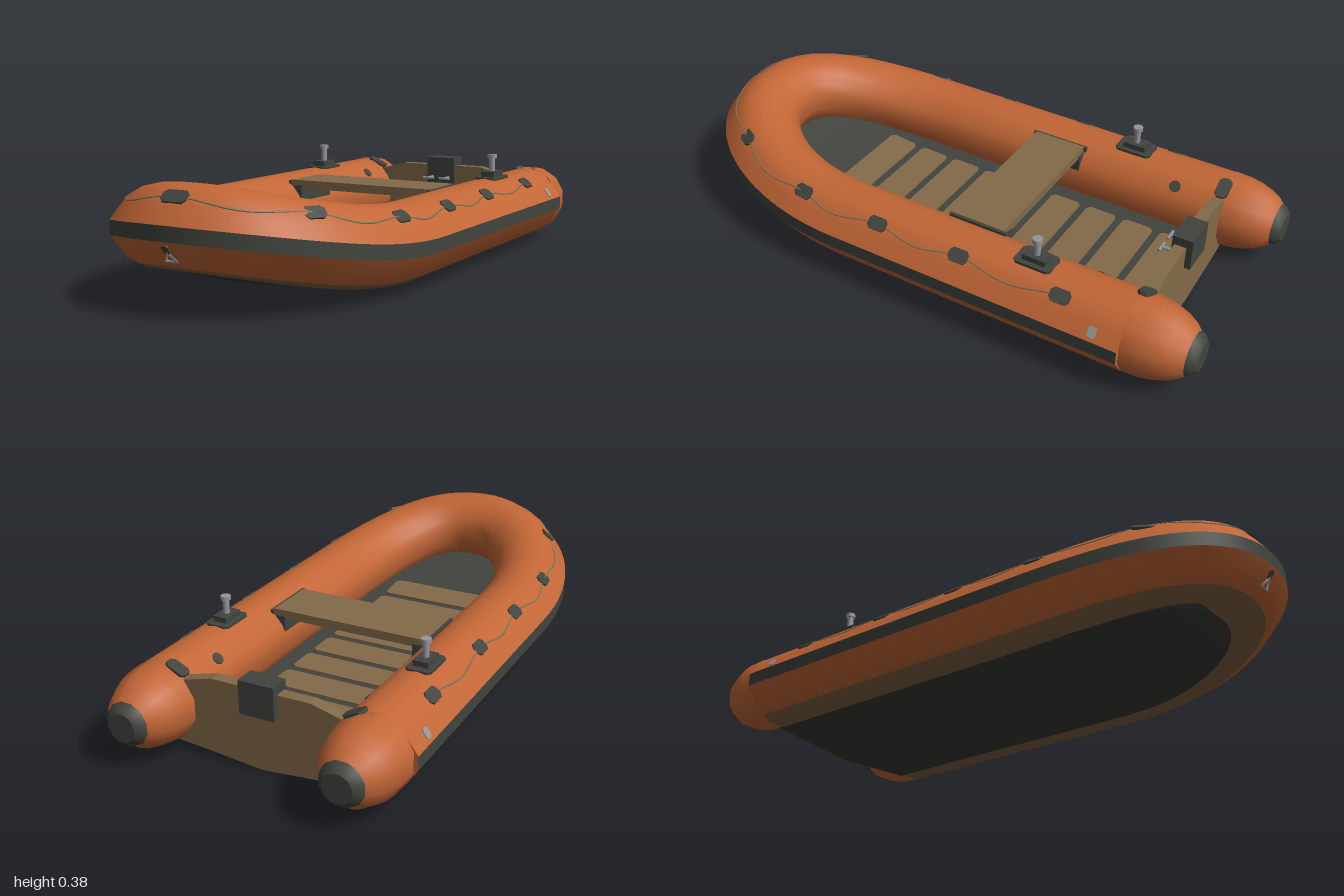
import * as THREE from 'three';
import { toCreasedNormals } from 'three/addons/utils/BufferGeometryUtils.js';

const mat = (name, color, side = THREE.FrontSide) => {
  const m = new THREE.MeshStandardMaterial({ color, side });
  m.name = name;
  return m;
};

const HALF = Math.PI / 2, DEG = Math.PI / 180;
const FULL = 0.9; // below 1 makes the bow fuller than an ellipse

// Upward sweep of the bow
const rise = (z) => 0.099 * (Math.max(0, z - 0.25) / 0.61) ** 2;

// Tube centre line: q = 0 at the bow, rounded bow, then straight sides to the stern
const qAt = (z) => HALF + 0.25 - z;
function station(q) {
  const a = Math.abs(q), side = Math.sign(q) || 1, b = Math.min(a, HALF);
  const s = Math.sin(b), c = Math.cos(b);
  const z = 0.25 + 0.61 * c ** FULL - Math.max(0, a - HALF);
  const p = new THREE.Vector3(side * 0.36 * s ** FULL, 0.155 + rise(z), z);
  const n = new THREE.Vector3(side * s ** (2 - FULL) / 0.36, 0, c ** (2 - FULL) / 0.61).normalize();
  return { p, n };
}
const offset = (q, out, up) => {
  const { p, n } = station(q);
  return p.addScaledVector(n, out).setY(p.y + up);
};
const polar = (deg, r) => [r * Math.cos(deg * DEG), r * Math.sin(deg * DEG)];
const onTube = (q, deg, r) => offset(q, ...polar(deg, r));

// Closed cross-section swept along the centre line, capped at both ends;
// colours gives a material index for each side of the section
function sweep(qs, section, colours = () => 0) {
  const pos = [], faces = [[], [], []];
  const m = section(0).length;
  qs.forEach((q, i) => section(i).forEach(([o, h]) => pos.push(...offset(q, o, h).toArray())));
  for (let i = 0; i < qs.length - 1; i++) for (let j = 0; j < m; j++) {
    const a = i * m + j, b = i * m + (j + 1) % m;
    faces[colours(j)].push(a, a + m, b, b, a + m, b + m);
  }
  const e = (qs.length - 1) * m;
  for (let j = 1; j < m - 1; j++) faces[0].push(0, j, j + 1, e, e + j + 1, e + j);
  const g = new THREE.BufferGeometry();
  g.setAttribute('position', new THREE.Float32BufferAttribute(pos, 3));
  g.setIndex(faces.flat());
  let start = 0;
  faces.forEach((f, k) => {
    if (f.length) g.addGroup(start, f.length, k);
    start += f.length;
  });
  return toCreasedNormals(g, 0.6);
}
const ring = (r) => Array.from({ length: 12 }, (_, j) => polar(15 + 30 * j, r));

// Main section: strake face, rounded top, then the broader facets of the underside
const mainSection = [
  [0.14, -0.023], [0.14, 0.023],
  ...[30, 50, 70, 90, 110, 130, 150].map((d) => polar(d, 0.127)),
  ...[165, 195, 225, 255, 285].map((d) => polar(d, 0.13)),
  [0.063, -0.1095], polar(315, 0.13),
];
const mainColours = (j) => (j === 0 ? 1 : j >= 11 && j <= 13 ? 2 : 0);

// Sheet with a rounded bow, given half width and height rule
function sheet(w0, height) {
  const pos = [], idx = [], cols = 8, rows = 24;
  for (let i = 0; i <= rows; i++) {
    const a = Math.max(0, i - 1) / (rows - 1) * HALF;
    const z = i === 0 ? -0.8 : 0.25 + 0.56 * Math.sin(a) ** FULL;
    const w = w0 * Math.max(0.001, Math.cos(a)) ** FULL;
    for (let j = 0; j <= cols; j++) {
      const t = j / cols * 2 - 1;
      pos.push(w * t, height(Math.abs(t), w / w0) + rise(z), z);
    }
  }
  for (let i = 0; i < rows; i++) for (let j = 0; j < cols; j++) {
    const a = i * (cols + 1) + j, b = a + cols + 1;
    idx.push(a, b, a + 1, a + 1, b, b + 1);
  }
  const g = new THREE.BufferGeometry();
  g.setAttribute('position', new THREE.Float32BufferAttribute(pos, 3));
  g.setIndex(idx);
  g.computeVertexNormals();
  return g;
}

// Flat plate with clipped corners, thickness along +z
function plate(w, h, c, depth) {
  const x = w / 2, y = h / 2;
  const pts = [[x, y - c], [x - c, y], [c - x, y], [-x, y - c], [-x, c - y], [c - x, -y], [x - c, -y], [x, c - y]];
  const shape = new THREE.Shape(pts.map(([u, v]) => new THREE.Vector2(u, v)));
  return new THREE.ExtrudeGeometry(shape, { depth, bevelEnabled: false });
}

export function createModel() {
  const orange = mat('orange fabric', 0xc26636);
  const under = mat('underside tan', 0x7f5f3f);
  const dark = mat('dark rubber', 0x41443e, THREE.DoubleSide);
  const black = mat('black hull', 0x383a35, THREE.DoubleSide);
  const wood = mat('wood', 0x826a49);
  const metal = mat('metal', 0x94979a);
  const rope = mat('rope', 0x80795a);

  const boat = new THREE.Group();
  boat.name = 'inflatableBoat';
  const add = (name, geo, m, x = 0, y = 0, z = 0) => {
    const mesh = new THREE.Mesh(geo, m);
    mesh.name = name;
    mesh.position.set(x, y, z);
    boat.add(mesh);
    return mesh;
  };
  // Lay a part on the tube surface: x along the tube, z outward
  const lay = (name, geo, m, q, deg, r, tilt = deg) => {
    const { n } = station(q), [c, s] = polar(tilt, 1);
    const out = n.clone().multiplyScalar(c).setY(s);
    const up = n.clone().multiplyScalar(-s).setY(c);
    const along = new THREE.Vector3().crossVectors(up, out);
    const mesh = add(name, geo, m);
    mesh.quaternion.setFromRotationMatrix(new THREE.Matrix4().makeBasis(along, up, out));
    mesh.position.copy(onTube(q, deg, r));
    return mesh;
  };

  // Main tube with its rubbing strake and underside
  const bowQ = Array.from({ length: 49 }, (_, i) => (i / 24 - 1) * HALF);
  add('mainTube', sweep([-qAt(-0.785), ...bowQ, qAt(-0.785)], () => mainSection, mainColours), [orange, dark, under]);

  // Hull bottom and inner floor
  add('hullBottom', sheet(0.33, (t, k) => 0.03 - 0.026 * (1 - t) * k), black);
  add('floor', sheet(0.28, () => 0.09), dark);
  for (let k = 0; k < 9; k++) {
    const z = -0.685 + 0.14 * k;
    const slat = add('floorSlat', plate(0.38, 0.112, 0.012, 0.006), wood, 0, 0.09 + rise(z), z);
    slat.rotation.x = -HALF - Math.atan((rise(z + 0.05) - rise(z - 0.05)) / 0.1);
  }

  // Seat
  add('seat', new THREE.BoxGeometry(0.56, 0.03, 0.19), wood, 0, 0.255, -0.18);

  // Transom with motor plate
  const half = [[0.29, 0.035], [0.28, 0.245], [0.17, 0.274]];
  const outline = [[0, 0.006], ...half, ...half.map(([x, y]) => [-x, y]).reverse()];
  const transom = new THREE.Shape(outline.map(([x, y]) => new THREE.Vector2(x, y)));
  add('transom', new THREE.ExtrudeGeometry(transom, { depth: 0.04, bevelEnabled: false }), wood, 0, 0, -0.807);
  add('motorPlate', new THREE.BoxGeometry(0.12, 0.11, 0.07), dark, 0, 0.25, -0.793);

  const taper = [[-0.78, 0.13], [-0.84, 0.127], [-0.88, 0.12], [-0.92, 0.106], [-0.95, 0.09], [-0.975, 0.068]];
  const capRings = [[-0.97, 0.073], [-0.985, 0.066], [-1, 0.048]];
  for (const s of [1, -1]) {
    // Tapered sterns and end caps
    const stern = (name, rings, m) => {
      const list = s > 0 ? rings : [...rings].reverse();
      add(name, sweep(list.map(([z]) => s * qAt(z)), (i) => ring(list[i][1])), m);
    };
    stern('sternCone', taper, orange);
    stern('sternCap', capRings, dark);

    // Seat brackets and transom pads
    add('seatBracket', new THREE.BoxGeometry(0.05, 0.08, 0.2), dark, s * 0.262, 0.21, -0.18);
    add('seatEnd', new THREE.BoxGeometry(0.012, 0.03, 0.21), dark, s * 0.283, 0.253, -0.18);
    lay('transomPad', plate(0.045, 0.075, 0.012, 0.012), dark, s * qAt(-0.787), 116, 0.12);

    // Transom clamp screws
    const screw = add('clampScrew', new THREE.CylinderGeometry(0.006, 0.006, 0.06, 10), metal, s * 0.035, 0.225, -0.745);
    screw.rotation.x = HALF;
    const handle = add('clampHandle', new THREE.CylinderGeometry(0.005, 0.005, 0.045, 8), metal, s * 0.035, 0.225, -0.717);
    handle.rotation.z = HALF;

    // Rowlocks
    const base = add('rowlockBase', plate(0.085, 0.13, 0.012, 0.009), dark, s * 0.36, 0.276, -0.44);
    base.rotation.x = -HALF;
    add('rowlockBlock', new THREE.BoxGeometry(0.05, 0.02, 0.08), dark, s * 0.36, 0.294, -0.44);
    add('rowlockPost', new THREE.CylinderGeometry(0.011, 0.011, 0.056, 12), metal, s * 0.36, 0.328, -0.44);
    add('rowlockHead', new THREE.CylinderGeometry(0.017, 0.017, 0.014, 12), metal, s * 0.36, 0.358, -0.44);

    // Air valve and side plate
    const valve = new THREE.CylinderGeometry(0.02, 0.02, 0.012, 14).rotateX(HALF);
    lay('airValve', valve, dark, s * qAt(-0.63), 137, 0.122);
    lay('sidePlate', plate(0.026, 0.034, 0.004, 0.004), metal, s * qAt(-0.695), 21, 0.1295, 36);
  }

  // Grab rope patches
  const sideQ = [0.78, 1.352, qAt(0.105), qAt(-0.205), qAt(-0.565)];
  const patchQ = [...sideQ.map((q) => -q).reverse(), 0, ...sideQ];
  for (const q of patchQ) {
    lay('ropePatch', plate(q === 0 ? 0.09 : 0.07, 0.046, 0.012, 0.008), dark, q, 50, 0.1205);
  }

  // Grab rope sagging between the patches, half sunk in the fabric
  const ropePts = [];
  for (let i = 0; i < patchQ.length - 1; i++) for (let k = 0; k < 8; k++) {
    const t = k / 8, q = THREE.MathUtils.lerp(patchQ[i], patchQ[i + 1], t);
    ropePts.push(onTube(q, 50 - 11 * Math.sin(Math.PI * t) ** 2, 0.1252));
  }
  ropePts.push(onTube(patchQ[patchQ.length - 1], 50, 0.1252));
  add('grabRope', new THREE.TubeGeometry(new THREE.CatmullRomCurve3(ropePts), 240, 0.003, 6), rope);

  // Bow towing strap and ring
  lay('towStrap', plate(0.022, 0.03, 0.004, 0.006), dark, 0, -20, 0.13, -35);
  const towRing = lay('towRing', new THREE.TorusGeometry(0.023, 0.005, 6, 3), metal, 0, -35, 0.13, -35);
  towRing.rotateZ(HALF);

  return boat;
}
